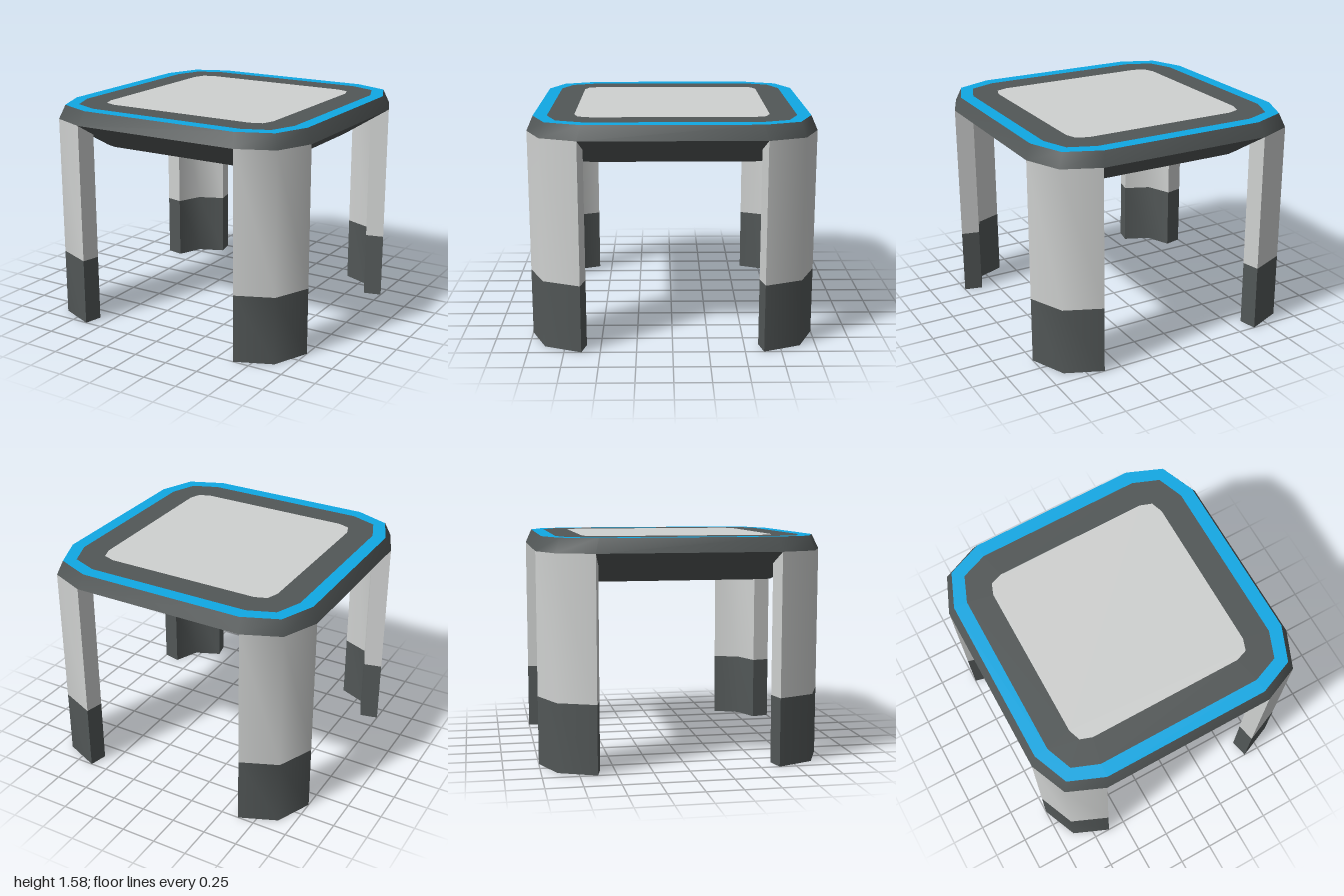
import * as THREE from 'three';
import { toCreasedNormals } from 'three/addons/utils/BufferGeometryUtils.js';

const CREASE = 0.9;

// Square outline with chamfered corners, as [x, z] counterclockwise from above.
// half: half width, edge: end of the straight side, corner: diagonal point
function outline(half, edge, corner) {
  const quarter = [[half, edge], [corner, corner], [edge, half]];
  const points = [];
  for (let i = 0; i < 4; i++) {
    for (const [a, b] of quarter) {
      const c = [1, 0, -1, 0][i], s = [0, 1, 0, -1][i];
      points.push([a * c - b * s, -(a * s + b * c)]);
    }
  }
  return points;
}

// Band of quads joining two outlines at two heights
function band(a, ya, b, yb) {
  const pos = [];
  for (let i = 0; i < a.length; i++) {
    const j = (i + 1) % a.length;
    const a0 = [a[i][0], ya, a[i][1]], a1 = [a[j][0], ya, a[j][1]];
    const b0 = [b[i][0], yb, b[i][1]], b1 = [b[j][0], yb, b[j][1]];
    pos.push(...a0, ...a1, ...b1, ...a0, ...b1, ...b0);
  }
  const geo = new THREE.BufferGeometry();
  geo.setAttribute('position', new THREE.Float32BufferAttribute(pos, 3));
  return toCreasedNormals(geo, CREASE);
}

const toShape = (points) => new THREE.Shape(points.map(([x, z]) => new THREE.Vector2(x, -z)));

export function createModel() {
  const light = new THREE.MeshStandardMaterial({ name: 'lightGrey', color: 0xcfd1d0 });
  const dark = new THREE.MeshStandardMaterial({ name: 'darkGrey', color: 0x525757 });
  const blue = new THREE.MeshStandardMaterial({ name: 'blue', color: 0x10a8e4 });

  const model = new THREE.Group();
  model.name = 'table';
  const add = (parent, name, geo, mat) => {
    const mesh = new THREE.Mesh(geo, mat);
    mesh.name = name;
    parent.add(mesh);
    return mesh;
  };

  // Table top, from the underside up
  const yBottom = 1.27, yEdge = 1.48, yTop = 1.58;
  const panel = outline(0.675, 0.56, 0.645);
  const rim = outline(1, 0.63, 0.89);
  const stripeOuter = outline(0.957, 0.605, 0.855);
  const stripeInner = outline(0.86, 0.6, 0.787);
  const top = new THREE.Group();
  top.name = 'tableTop';
  model.add(top);
  add(top, 'slopedUnderside', band(panel, yBottom, rim, yEdge), dark);
  add(top, 'rim', band(rim, yEdge, stripeOuter, yTop), dark);
  add(top, 'stripe', band(stripeOuter, yTop, stripeInner, yTop), blue);
  add(top, 'border', band(stripeInner, yTop, panel, yTop), dark);
  const cap = new THREE.ShapeGeometry(toShape(panel));
  add(top, 'topPanel', cap.clone().rotateX(-Math.PI / 2).translate(0, yTop, 0), light);
  add(top, 'bottomPanel', cap.clone().rotateX(Math.PI / 2).translate(0, yBottom, 0), light);

  // Corner legs: an angled plate with a dark foot
  const section = toShape([
    [1, -0.63], [0.89, -0.89], [0.63, -1], [0.6, -0.87], [0.79, -0.79], [0.87, -0.6],
  ]);
  const prism = (y0, y1) => toCreasedNormals(
    new THREE.ExtrudeGeometry(section, { depth: y1 - y0, bevelEnabled: false })
      .rotateX(-Math.PI / 2).translate(0, y0, 0), CREASE);
  const footGeo = prism(0, 0.48), legGeo = prism(0.48, yEdge);
  ['backLeft', 'backRight', 'frontRight', 'frontLeft'].forEach((corner, i) => {
    const leg = new THREE.Group();
    leg.name = corner + 'Leg';
    add(leg, 'upperLeg', legGeo, light);
    add(leg, 'foot', footGeo, dark);
    leg.rotation.y = i * Math.PI / 2;
    model.add(leg);
  });

  return model;
}
